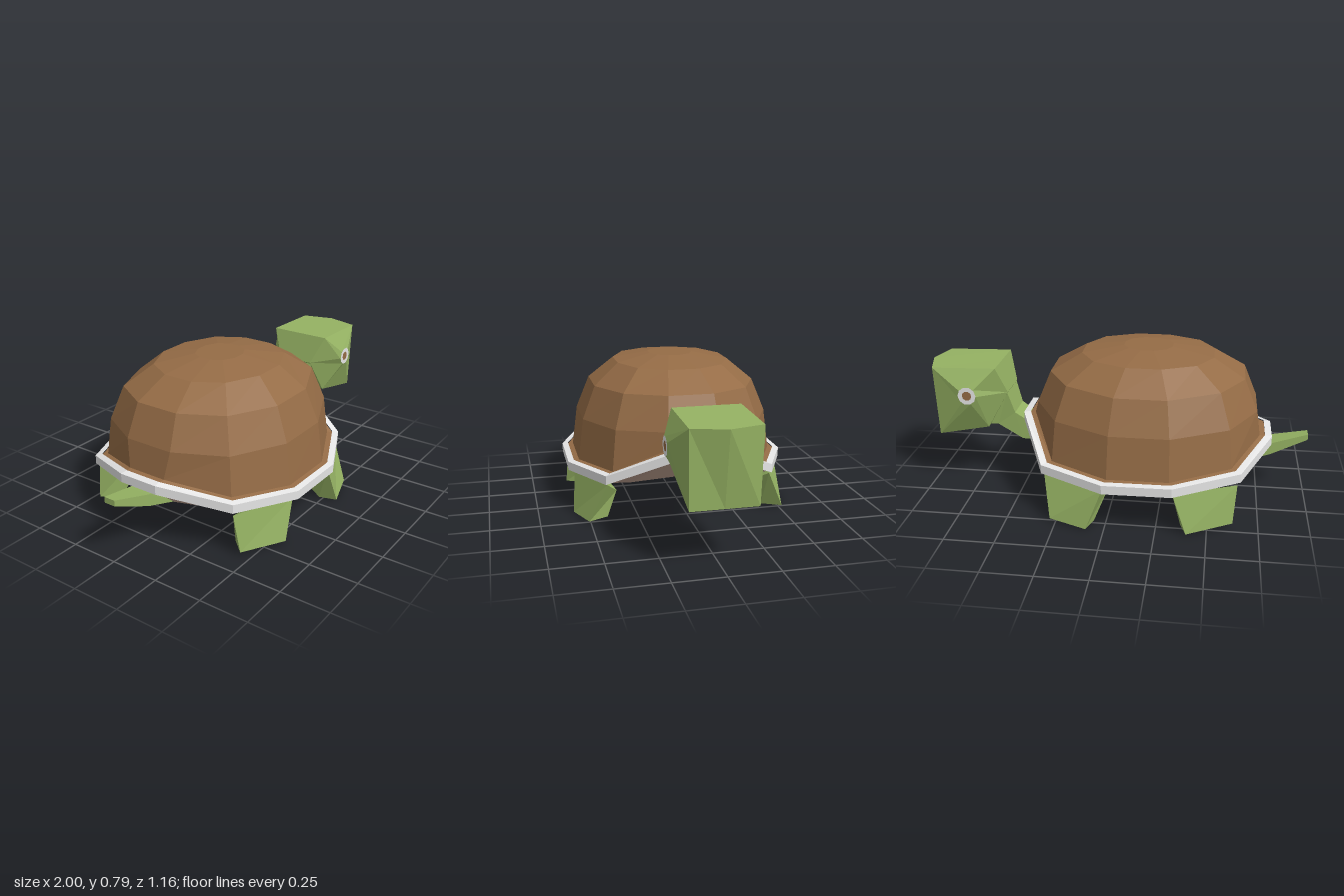
import * as THREE from 'three';

const mat = (name, color) => {
  const m = new THREE.MeshStandardMaterial({ color });
  m.name = name;
  return m;
};

// Faceted skin through closed rings of points; each end closes to a centre point when given
function loft(rings, startCap = true, endCap = true) {
  const pos = [];
  const tri = (a, b, c) => pos.push(...a, ...b, ...c);
  const n = rings[0].length;
  const centre = (r) => [0, 1, 2].map((k) => r.reduce((s, p) => s + p[k], 0) / n);
  const first = rings[0], last = rings[rings.length - 1];
  const c0 = centre(first), c1 = centre(last);
  for (let i = 0; i < n; i++) {
    const j = (i + 1) % n;
    for (let k = 0; k + 1 < rings.length; k++) {
      const lo = rings[k], up = rings[k + 1];
      tri(lo[i], up[i], lo[j]);
      tri(lo[j], up[i], up[j]);
    }
    if (startCap) tri(c0, first[i], first[j]);
    if (endCap) tri(c1, last[j], last[i]);
  }
  const g = new THREE.BufferGeometry();
  g.setAttribute('position', new THREE.Float32BufferAttribute(pos, 3));
  g.computeVertexNormals();
  return g;
}

// Twelve-sided outline: [x, z, index in quarter, end], first quarter mirrored round
const QUARTER = [[1, 0.18], [0.76, 0.74], [0.26, 1]];
const OUTLINE = [
  ...QUARTER.map(([x, z], i) => [x, z, i, 1]),
  ...QUARTER.map(([x, z], i) => [-x, z, i, -1]).reverse(),
  ...QUARTER.map(([x, z], i) => [-x, -z, i, -1]),
  ...QUARTER.map(([x, z], i) => [x, -z, i, 1]).reverse(),
];
const CX = -0.16;
// endWidth widens the short facets at the head and tail ends
const ring = (rx, rz, y, endWidth = 1) => OUTLINE.map(([x, z, i, s]) =>
  [CX + x * rx, y(i, s), z * rz * (i === 0 ? endWidth : 1)]);

// Lower edge of the rim, rising at the head and a little at the tail
const rimAt = (dy) => (i, s) => dy + (s > 0 ? [0.37, 0.222, 0.205] : [0.3, 0.235, 0.208])[i];

// Four-cornered section across x: top and bottom points with a half width
const section = ([tx, ty, bx, by, w]) =>
  [[bx, by, w], [tx, ty, w], [tx, ty, -w], [bx, by, -w]];

export function createModel() {
  const skin = mat('green skin', 0x95b263);
  const brown = mat('shell brown', 0x956c46);
  const grey = mat('rim grey', 0xe6e6e6);
  const under = mat('belly brown', 0xbd9f8f);
  for (const m of [skin, brown, grey, under]) m.flatShading = true;

  const model = new THREE.Group();
  model.name = 'turtle';
  const add = (name, geometry, material, parent = model) => {
    const mesh = new THREE.Mesh(geometry, material);
    mesh.name = name;
    parent.add(mesh);
    return mesh;
  };

  // Domed shell
  add('shell', loft([
    ring(0.615, 0.55, rimAt(0.045)),
    ring(0.587, 0.523, rimAt(0.05), 1.1),
    ring(0.565, 0.495, (i) => [0.49, 0.48, 0.47][i], 1.45),
    ring(0.497, 0.427, (i) => [0.655, 0.65, 0.64][i], 1.5),
    ring(0.337, 0.297, () => 0.75, 1.5),
    ring(0.125, 0.115, () => 0.785, 1.5),
  ], false), brown);

  // Rim band
  add('shellRim', loft([
    ring(0.615, 0.55, rimAt(0)),
    ring(0.65, 0.58, rimAt(0)),
    ring(0.65, 0.58, rimAt(0.045)),
    ring(0.615, 0.55, rimAt(0.05)),
  ], false, false), grey);

  // Belly plate, lifted towards the neck
  add('belly', loft([
    ring(0.48, 0.385, (i, s) => (s > 0 ? [0.235, 0.18, 0.145] : [0.17, 0.15, 0.145])[i]),
    ring(0.63, 0.56, rimAt(0.004)),
  ], true, false), under);

  // Legs, mirrored across the body and, for the back pair, about the middle of the shell
  const hip = [[0.32, 0.215, 0.42], [0.01, 0.21, 0.55], [0, 0.14, 0.38], [0.22, 0.15, 0.36]];
  const frontFoot = [[0.28, 0.015, 0.51], [0.09, 0, 0.568], [0.06, 0.003, 0.48], [0.23, 0.015, 0.41]];
  const backFoot = [[0.305, 0.018, 0.45], [0.08, 0.003, 0.56], [0.05, 0.003, 0.47], [0.23, 0.015, 0.37]];
  for (const sx of [1, -1]) for (const sz of [1, -1]) {
    const place = (r) => {
      const out = r.map(([x, y, z]) => [CX + sx * (x - CX), y, sz * z]);
      return sx * sz < 0 ? out.reverse() : out;
    };
    add((sx > 0 ? 'front' : 'back') + (sz > 0 ? 'Right' : 'Left') + 'Leg',
      loft([place(sx > 0 ? frontFoot : backFoot), place(hip)]), skin);
  }

  // Tail, from tip to root
  add('tail', loft([
    [-1, 0.335, -1, 0.305, 0.03],
    [-0.81, 0.287, -0.81, 0.225, 0.06],
    [-0.6, 0.25, -0.64, 0.175, 0.075],
  ].map(section)), skin);

  // Neck, from inside the shell to the back of the head
  add('neck', loft([
    [0.36, 0.32, 0.34, 0.238, 0.07],
    [0.44, 0.33, 0.51, 0.25, 0.08],
    [0.545, 0.4, 0.64, 0.33, 0.085],
    [0.58, 0.52, 0.69, 0.335, 0.1],
  ].map(section)), skin);

  // Head: five-sided cheeks drawn in to a flat spot at each eye
  const EYE = [0.76, 0.535], EYE_R = 0.048, EYE_Z = 0.222;
  const cheek = [[0.62, 0.67, 0.165], [0.955, 0.662, 0.165], [0.94, 0.29, 0.16],
    [0.68, 0.33, 0.13], [0.575, 0.52, 0.1]];
  const side = (s) => cheek.map(([x, y, z]) => [x, y, s * z]);
  const socket = (s) => cheek.map(([x, y]) => {
    const dx = x - EYE[0], dy = y - EYE[1], k = EYE_R / Math.hypot(dx, dy);
    return [EYE[0] + dx * k, EYE[1] + dy * k, s * EYE_Z];
  });
  const middle = cheek.map(([x, y], i) => [i === 1 ? 1 : x, y, 0]);
  const head = new THREE.Group();
  head.name = 'head';
  model.add(head);
  add('skull', loft([socket(-1), side(-1), middle, side(1), socket(1)]), skin, head);

  // Eyes: pale ring with a brown centre
  for (const s of [1, -1]) {
    const eye = new THREE.Group();
    eye.name = s > 0 ? 'rightEye' : 'leftEye';
    eye.position.set(EYE[0], EYE[1], s * (EYE_Z + 0.003));
    if (s < 0) eye.rotation.y = Math.PI;
    head.add(eye);
    add('eyeRing', new THREE.RingGeometry(0.025, EYE_R, 10), grey, eye);
    add('pupil', new THREE.CircleGeometry(0.025, 10), brown, eye);
  }
  return model;
}
